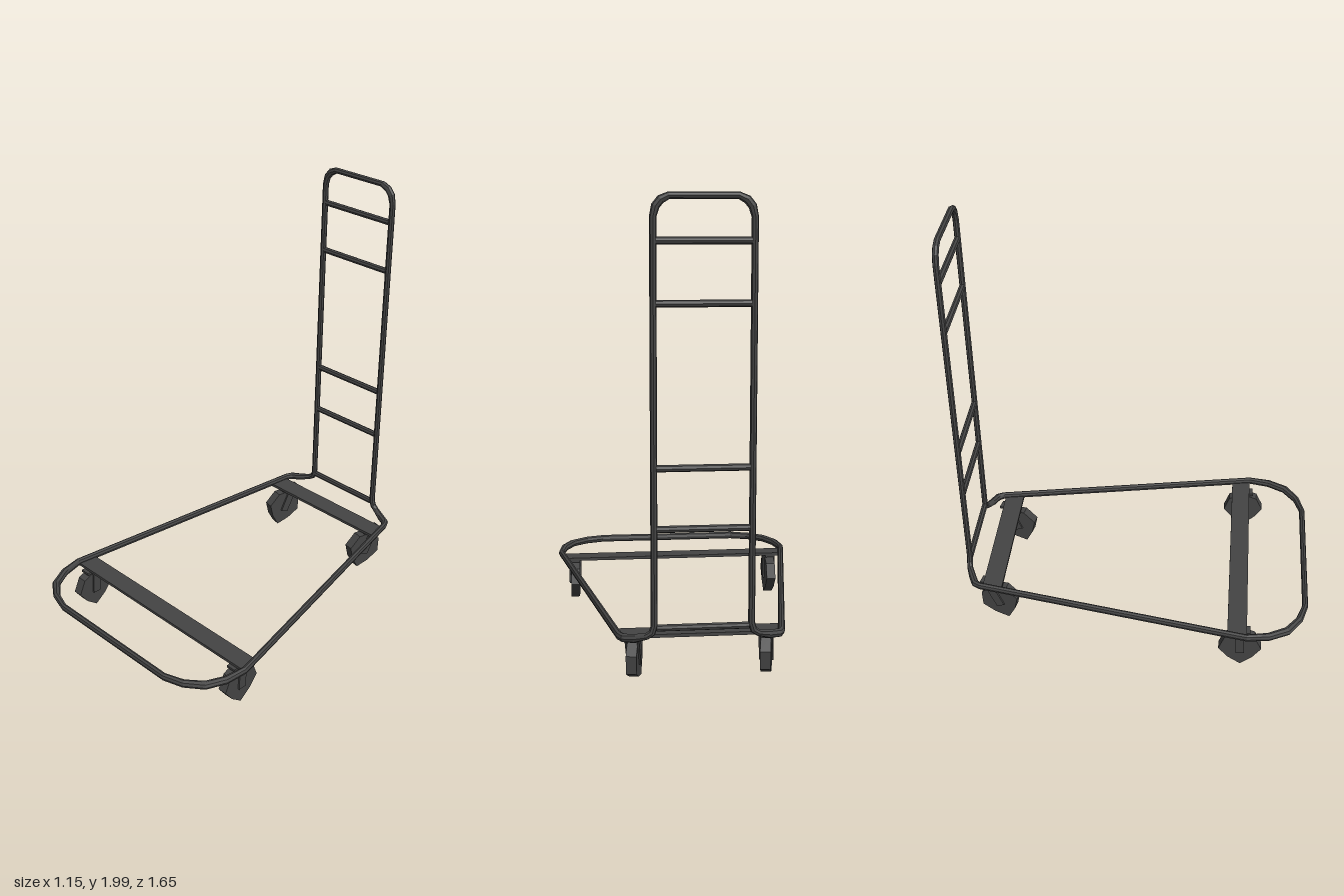
import * as THREE from 'three';

const material = new THREE.MeshStandardMaterial({ color: 0x444444, flatShading: true, side: THREE.DoubleSide });

function add(parent, name, geometry, x = 0, y = 0, z = 0) {
  const mesh = new THREE.Mesh(geometry, material);
  mesh.name = name;
  mesh.position.set(x, y, z);
  parent.add(mesh);
  return mesh;
}

// Sweeps a round section along a closed loop; each point has its own widening
// in the plane of the bend, so the corners come out fuller than the straights.
function sweepLoop(stations, sides = 8) {
  const n = stations.length, up = new THREE.Vector3(0, 1, 0);
  const points = stations.map(([x, y, z]) => new THREE.Vector3(x, y, z));
  const positions = [], index = [];
  points.forEach((p, i) => {
    const before = p.clone().sub(points[(i + n - 1) % n]).normalize();
    const after = points[(i + 1) % n].clone().sub(p).normalize();
    const t = before.clone().add(after).normalize();
    const widen = stations[i][3] / Math.max(0.8, t.dot(after));
    const flat = p.y < 0.24;
    const a = flat ? t.clone().cross(up).normalize() : new THREE.Vector3(0, 0, -1);
    const b = t.clone().cross(a).normalize();
    a.crossVectors(b, t);
    const ra = 0.014 * (flat ? widen : 1), rb = flat ? 0.018 : 0.014 * widen;
    for (let j = 0; j < sides; j++) {
      const w = j / sides * Math.PI * 2;
      const v = p.clone().addScaledVector(a, ra * Math.cos(w)).addScaledVector(b, rb * Math.sin(w));
      positions.push(v.x, v.y, v.z);
      const k = (j + 1) % sides, next = ((i + 1) % n) * sides;
      index.push(i * sides + j, i * sides + k, next + j, i * sides + k, next + k, next + j);
    }
  });
  const geometry = new THREE.BufferGeometry();
  geometry.setAttribute('position', new THREE.Float32BufferAttribute(positions, 3));
  geometry.setIndex(index);
  geometry.computeVertexNormals();
  return geometry;
}

// Flat cross plate whose ends follow the tapering side tubes.
function crossPlate(z0, z1) {
  const half = z => 0.33 + (z + 0.75) * 0.18;
  const shape = new THREE.Shape([
    new THREE.Vector2(-half(z0), -z0), new THREE.Vector2(-half(z1), -z1),
    new THREE.Vector2(half(z1), -z1), new THREE.Vector2(half(z0), -z0),
  ]);
  return new THREE.ExtrudeGeometry(shape, { depth: 0.014, bevelEnabled: false }).rotateX(-Math.PI / 2);
}

// Coarse wheel: eight corners, with flatter flanks below the axle.
function wheelGeometry() {
  const radii = [0.1, 0.1, 0.1, 0.1, 0.1, 0.08, 0.1, 0.08];
  const shape = new THREE.Shape(radii.map((r, i) =>
    new THREE.Vector2(r * Math.cos(i * Math.PI / 4), r * Math.sin(i * Math.PI / 4))));
  return new THREE.ExtrudeGeometry(shape, { depth: 0.044, bevelEnabled: false })
    .translate(0, 0, -0.022).rotateY(Math.PI / 2);
}

// Caster: mounting plate, forked bracket and wheel, swung forward by offset.
function caster(name, x, z, yaw, offset) {
  const group = new THREE.Group();
  group.name = name;
  group.position.set(x, 0, z);
  group.rotation.y = yaw;
  const top = 0.205, axle = 0.104;
  const tilt = -Math.atan2(offset, top - axle);
  add(group, 'mountPlate', new THREE.BoxGeometry(0.046, 0.012, 0.1), 0, top, 0);
  const length = Math.hypot(offset, top - axle) + 0.02;
  for (const s of [-1, 1]) {
    const arm = add(group, 'forkArm', new THREE.BoxGeometry(0.009, length, 0.042),
      s * 0.0255, (top + axle) / 2 - 0.01, offset / 2);
    arm.rotation.x = tilt;
  }
  add(group, 'wheel', wheelGeometry(), 0, axle, offset).rotation.x = tilt;
  return group;
}

export function createModel() {
  const cart = new THREE.Group();
  cart.name = 'platformCart';

  // One continuous tube: front bumper, tapered sides, rear bends and tall handle
  const half = [
    [0.34, 0.228, 0.811, 1], [0.43, 0.228, 0.782, 1.2], [0.505, 0.228, 0.725, 1.4],
    [0.547, 0.228, 0.64, 1.3], [0.563, 0.228, 0.54, 1],
    [0.334, 0.228, -0.74, 1], [0.318, 0.228, -0.768, 1.2], [0.275, 0.232, -0.788, 1.2],
    [0.228, 0.245, -0.808, 1], [0.206, 0.26, -0.812, 1], [0.197, 0.29, -0.812, 1],
    [0.197, 1.905, -0.812, 1], [0.187, 1.945, -0.812, 1.2], [0.167, 1.97, -0.812, 1.2], [0.135, 1.985, -0.812, 1],
  ];
  const mirrored = half.map(([x, ...rest]) => [-x, ...rest]).reverse();
  add(cart, 'tubeFrame', sweepLoop([...half, ...mirrored]));

  // Rungs of the handle
  for (const y of [0.28, 0.685, 0.93, 1.575, 1.815]) {
    add(cart, 'rung', new THREE.CylinderGeometry(0.0145, 0.0145, 0.375, 8).rotateZ(Math.PI / 2), 0, y, -0.812);
  }

  // Cross plates carrying the wheels
  add(cart, 'frontPlate', crossPlate(0.45, 0.54), 0, 0.21, 0);
  add(cart, 'rearPlate', crossPlate(-0.73, -0.637), 0, 0.21, 0);

  // Straight front casters and swivelled rear casters
  for (const [side, s] of [['Left', 1], ['Right', -1]]) {
    cart.add(caster('front' + side + 'Caster', s * 0.495, 0.507, 0, 0.005));
    cart.add(caster('rear' + side + 'Caster', s * 0.277, -0.698, -0.21, 0.047));
  }
  return cart;
}
